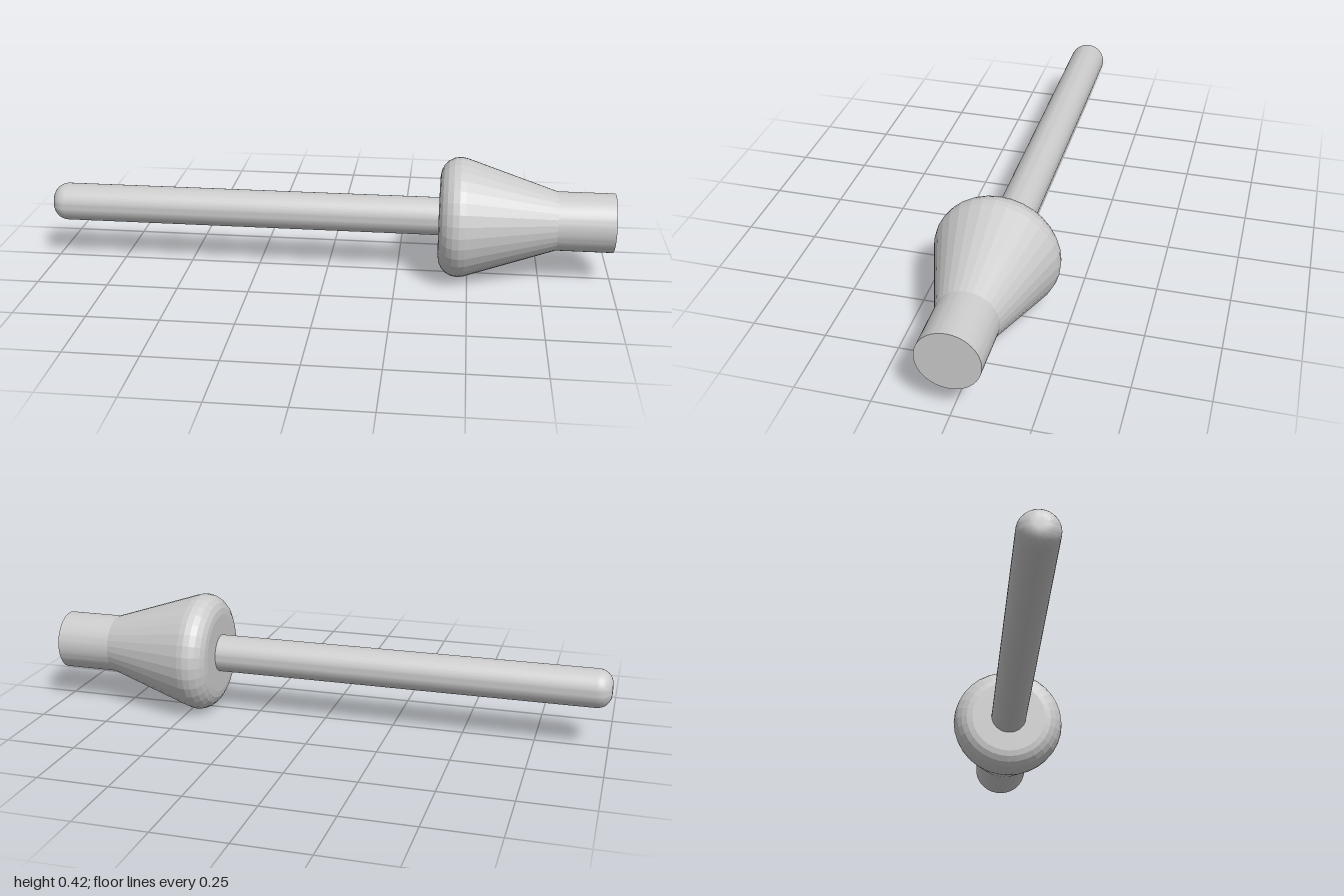
import * as THREE from 'three';
import { toCreasedNormals } from 'three/addons/utils/BufferGeometryUtils.js';

const AXIS_Y = 0.212;

// Points along a rounded corner, as (radius, position along the axis)
function arc(r, x, size, from, to, steps) {
  return Array.from({ length: steps + 1 }, (_, i) => {
    const a = from + ((to - from) * i) / steps;
    return new THREE.Vector2(r + size * Math.sin(a), x - size * Math.cos(a));
  });
}

// Turned part whose axis runs along x
function turned(name, points, sides, faceted) {
  let geometry = new THREE.LatheGeometry(points, sides);
  geometry.rotateZ(-Math.PI / 2);
  if (!faceted) geometry = toCreasedNormals(geometry, 0.35);
  const material = new THREE.MeshStandardMaterial({ color: 0xcccccc, flatShading: faceted });
  const mesh = new THREE.Mesh(geometry, material);
  mesh.name = name;
  return mesh;
}

export function createModel() {
  const group = new THREE.Group();
  const p = (r, x) => new THREE.Vector2(r, x);

  // Long pin with a rounded tip
  group.add(turned('shaft', [
    p(0, -1), ...arc(0.017, -0.95, 0.05, 0, Math.PI / 2, 8), p(0.067, 0.42),
  ], 48, false));

  // Faceted conical head with a rounded back rim
  const slope = THREE.MathUtils.degToRad(18.5);
  group.add(turned('head', [
    p(0, 0.395), ...arc(0.142, 0.465, 0.07, 0, Math.PI / 2 + slope, 6), p(0.103, 0.805),
  ], 32, true));

  // Straight neck with a flat end
  group.add(turned('neck', [p(0.1035, 0.803), p(0.1035, 1), p(0, 1)], 64, false));

  group.position.y = AXIS_Y;
  return group;
}
